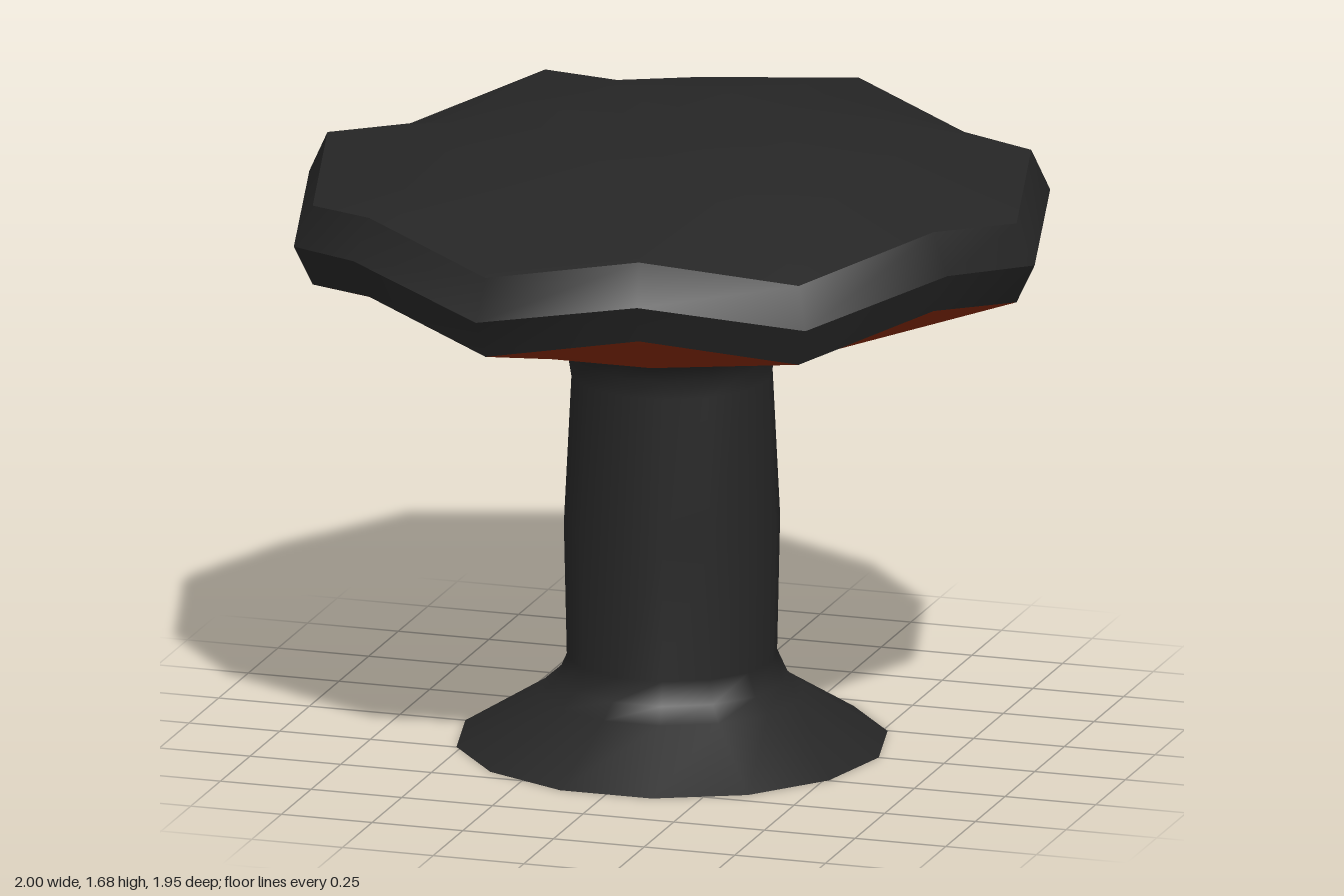
import * as THREE from 'three';
import { toCreasedNormals } from 'three/addons/utils/BufferGeometryUtils.js';

const SIDES = 14;

// Skin over rings of [radius, height at even corners, height at odd corners]
function ringSurface(rings) {
  const positions = [];
  const index = [];
  rings.forEach(([r, even, odd = even]) => {
    for (let k = 0; k < SIDES; k++) {
      const a = (k / SIDES) * Math.PI * 2;
      positions.push(r * Math.cos(a), k % 2 ? odd : even, r * Math.sin(a));
    }
  });
  for (let i = 0; i < rings.length - 1; i++) {
    for (let k = 0; k < SIDES; k++) {
      const a = i * SIDES + k;
      const b = i * SIDES + ((k + 1) % SIDES);
      const c = a + SIDES;
      const d = b + SIDES;
      index.push(a, c, b);
      if (rings[i + 1][0] > 0) index.push(b, c, d);
    }
  }
  const geometry = new THREE.BufferGeometry();
  geometry.setAttribute('position', new THREE.Float32BufferAttribute(positions, 3));
  geometry.setIndex(index);
  geometry.computeVertexNormals();
  return geometry;
}

function addPart(group, name, geometry, color) {
  const material = new THREE.MeshStandardMaterial({ color, side: THREE.DoubleSide });
  const mesh = new THREE.Mesh(geometry, material);
  mesh.name = name;
  group.add(mesh);
}

export function createModel() {
  const group = new THREE.Group();
  group.name = 'mushroom';
  const dark = 0x262626;
  const rust = 0x8a2b0a;

  // Stem: flared foot, slightly bulging shaft, small flare under the cap
  addPart(group, 'stem', ringSurface([
    [0.57, 0], [0.35, 0.135], [0.305, 0.175], [0.278, 0.235], [0.286, 0.6],
    [0.266, 1.0], [0.274, 1.05], [0.295, 1.095], [0.33, 1.12],
  ]), dark);

  // Underside of the cap, rising to the wavy rim
  addPart(group, 'capUnderside', toCreasedNormals(ringSurface([
    [0.33, 1.12], [0.61, 1.185], [0.95, 1.275, 1.355],
  ]), 0.7), rust);

  // Cap: bevelled zigzag rim and a low dome
  addPart(group, 'cap', toCreasedNormals(ringSurface([
    [0.95, 1.275, 1.355], [1, 1.38, 1.46], [0.95, 1.49, 1.57],
    [0.61, 1.63], [0.3, 1.675, 1.685], [0, 1.665],
  ]), 0.7), dark);

  return group;
}
